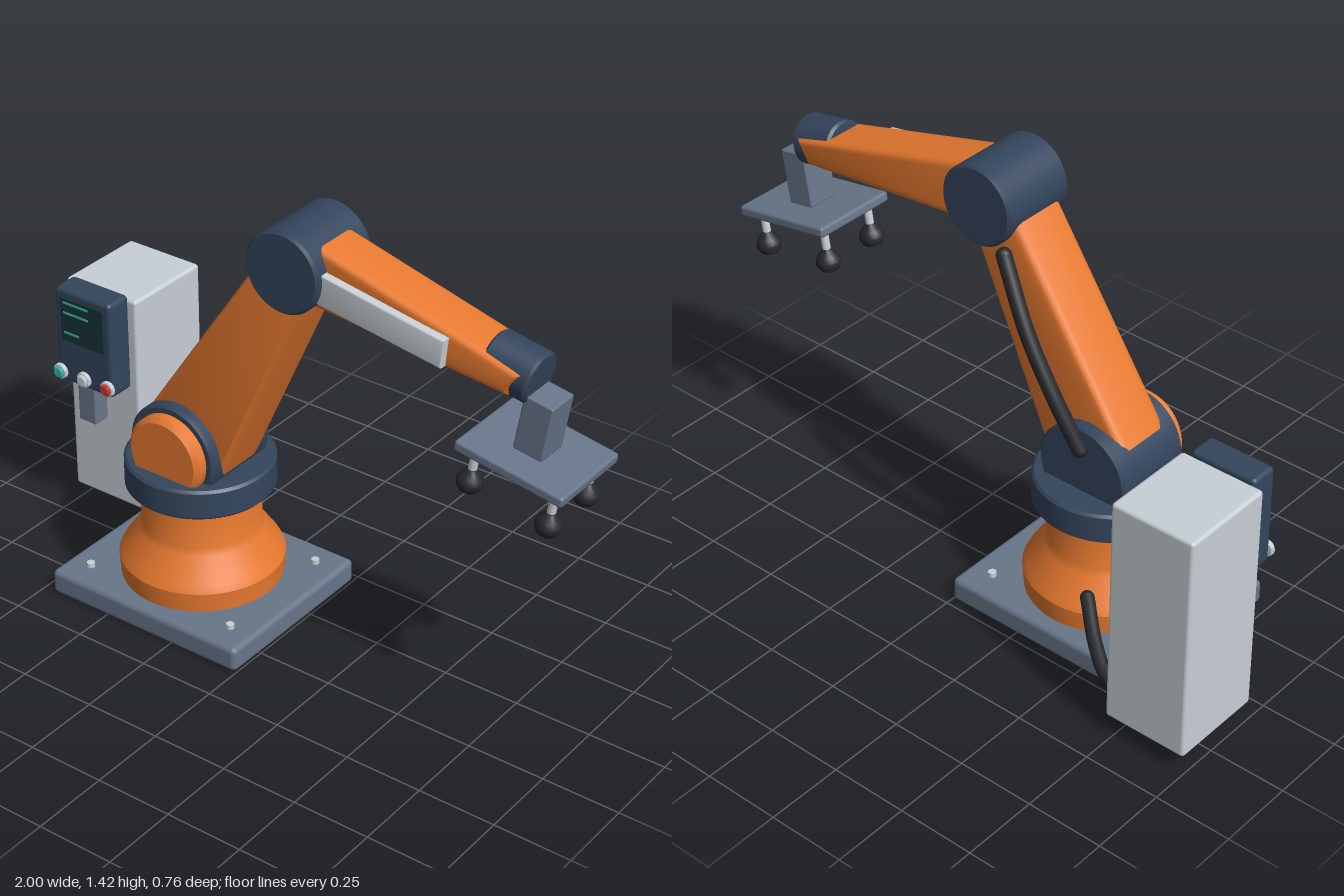
import * as THREE from 'three';
import { toCreasedNormals } from 'three/addons/utils/BufferGeometryUtils.js';
import { RoundedBoxGeometry } from 'three/addons/geometries/RoundedBoxGeometry.js';

const paint = (color) => new THREE.MeshStandardMaterial({ color });
const ORANGE = paint(0xe87a30), NAVY = paint(0x34455c), STEEL = paint(0x68768a);
const PALE = paint(0xc8d0d6), RUBBER = paint(0x26282b), SCREEN = paint(0x17343a);
const TEAL = paint(0x3fb5a5), RED = paint(0xc83a30);

const CX = -0.357, CZ = 0.077; // turning axis of the robot

export function createModel() {
  const model = new THREE.Group();
  model.name = 'robotArm';

  const add = (name, geometry, material, x = 0, y = 0, z = 0, parent = model) => {
    const mesh = new THREE.Mesh(geometry, material);
    mesh.name = name;
    mesh.position.set(x, y, z);
    parent.add(mesh);
    return mesh;
  };
  const box = (w, h, d, r = 0.01) => new RoundedBoxGeometry(w, h, d, 2, r);
  const lathe = (pts, sides = 48) =>
    toCreasedNormals(new THREE.LatheGeometry(pts.map(([r, y]) => new THREE.Vector2(r, y)), sides), 0.5);
  // Cylinder centred on the origin with bevelled rims
  const drum = (r, h, b = 0.008) => lathe([
    [0, -h / 2], [r - b, -h / 2], [r, -h / 2 + b], [r, h / 2 - b], [r - b, h / 2], [0, h / 2]]);
  // Side outline in x, y made into a bevelled slab of the given depth, centred on z = 0
  const slab = (pts, depth, bevel) => {
    const geometry = new THREE.ExtrudeGeometry(
      new THREE.Shape(pts.map(([x, y]) => new THREE.Vector2(x, y))),
      { depth: depth - 2 * bevel, bevelEnabled: true, bevelThickness: bevel, bevelSize: bevel,
        bevelOffset: -bevel, bevelSegments: 3 });
    return toCreasedNormals(geometry.translate(0, 0, bevel - depth / 2), 0.6);
  };
  const cable = (pts, r) => {
    const path = new THREE.CatmullRomCurve3(pts.map((p) => new THREE.Vector3(...p)));
    const group = new THREE.Group();
    add('cableTube', new THREE.TubeGeometry(path, 32, r, 12), RUBBER, 0, 0, 0, group);
    for (const end of [pts[0], pts[pts.length - 1]])
      add('cableEnd', new THREE.SphereGeometry(r, 12, 8), RUBBER, ...end, group);
    model.add(group);
    return group;
  };

  // Floor plate and bolts
  add('basePlate', box(0.715, 0.082, 0.605, 0.018), STEEL, CX, 0.044, CZ);
  for (const sx of [-1, 1]) for (const sz of [-1, 1])
    add('baseBolt', new THREE.CylinderGeometry(0.013, 0.013, 0.02, 12), PALE,
      CX + sx * 0.273, 0.09, CZ + sz * 0.214);

  // Pedestal and turntable
  add('pedestal', lathe([[0, 0.08], [0.252, 0.08], [0.257, 0.15], [0.246, 0.172], [0.195, 0.245],
    [0.185, 0.268], [0.185, 0.41], [0, 0.41]], 64), ORANGE, CX, 0, CZ);
  add('turntable', drum(0.232, 0.1), NAVY, CX, 0.45, CZ);

  // Shoulder and elbow joints, axes along z
  add('shoulder', drum(0.158, 0.275), NAVY, CX, 0.56, CZ).rotation.x = Math.PI / 2;
  add('shoulderCap', drum(0.133, 0.06, 0.014), ORANGE, CX, 0.56, 0.227).rotation.x = Math.PI / 2;
  add('elbow', drum(0.127, 0.26), NAVY, 0.05, 1.294, CZ).rotation.x = Math.PI / 2;

  // Arms
  add('upperArm', slab([[-0.478, 0.661], [-0.206, 0.511], [0.125, 1.254], [-0.025, 1.336]],
    0.2, 0.028), ORANGE, 0, 0, CZ + 0.002);
  add('forearm', slab([[0.03, 1.197], [0.765, 1.128], [0.81, 1.207], [0.05, 1.405]],
    0.168, 0.026), ORANGE, 0, 0, CZ);
  add('forearmPanel', slab([[0.14, 1.226], [0.572, 1.161], [0.582, 1.25], [0.14, 1.325]],
    0.034, 0.006), PALE, 0, 0, 0.169);

  // Wrist, axis along the forearm
  add('wrist', drum(0.079, 0.152), NAVY, 0.75, 1.182, CZ).rotation.z = -Math.PI / 2 - 0.18;

  // Gripper: post, plate and four suction cups
  const gripper = new THREE.Group();
  gripper.name = 'gripper';
  gripper.position.set(0.821, 0.938, CZ);
  gripper.rotation.z = -0.165;
  model.add(gripper);
  add('gripperPost', box(0.095, 0.18, 0.108, 0.006), STEEL, 0, 0.105, 0, gripper);
  add('gripperPlate', box(0.355, 0.034, 0.294, 0.01), STEEL, 0, 0, 0, gripper);
  const cup = lathe([[0, -0.034], [0.03, -0.034], [0.04, -0.016], [0.04, -0.004], [0.033, 0.012],
    [0.02, 0.026], [0.014, 0.034], [0, 0.034]], 16);
  for (const sx of [-1, 1]) for (const sz of [-1, 1]) {
    add('cupRod', new THREE.CylinderGeometry(0.013, 0.013, 0.09, 12), PALE,
      sx * 0.13, -0.05, sz * 0.096, gripper);
    add('suctionCup', cup, RUBBER, sx * 0.13, -0.115, sz * 0.096, gripper);
  }

  // Control cabinet with screen unit, buttons and handle
  add('cabinet', box(0.28, 0.76, 0.315, 0.012), PALE, -0.86, 0.445, -0.227);
  add('controlPanel', box(0.222, 0.33, 0.095, 0.015), NAVY, -0.86, 0.677, -0.027);
  add('screen', box(0.172, 0.152, 0.01, 0.003), SCREEN, -0.86, 0.74, 0.02);
  for (const [y, w] of [[0.8, 0.1], [0.765, 0.1], [0.695, 0.06]])
    add('screenLine', new THREE.BoxGeometry(w, 0.007, 0.004), TEAL, -0.932 + w / 2, y, 0.025);
  [TEAL, PALE, RED].forEach((material, i) => {
    const x = -0.955 + i * 0.095;
    add('buttonRing', drum(0.026, 0.016, 0.003), PALE, x, 0.547, 0.025).rotation.x = Math.PI / 2;
    add('button', drum(0.02, 0.02, 0.005), material, x, 0.547, 0.032).rotation.x = Math.PI / 2;
  });
  add('panelHandle', box(0.068, 0.135, 0.06, 0.005), STEEL, -0.86, 0.457, -0.012);

  // Cables
  cable([[-0.73, 0.095, -0.295], [-0.65, 0.1, -0.285], [-0.56, 0.135, -0.23], [-0.45, 0.195, -0.135]],
    0.022).name = 'cabinetCable';
  cable([[-0.37, 0.665, -0.085], [-0.29, 0.82, -0.105], [-0.19, 1.0, -0.108], [-0.08, 1.2, -0.08]],
    0.024).name = 'armCable';

  return model;
}
